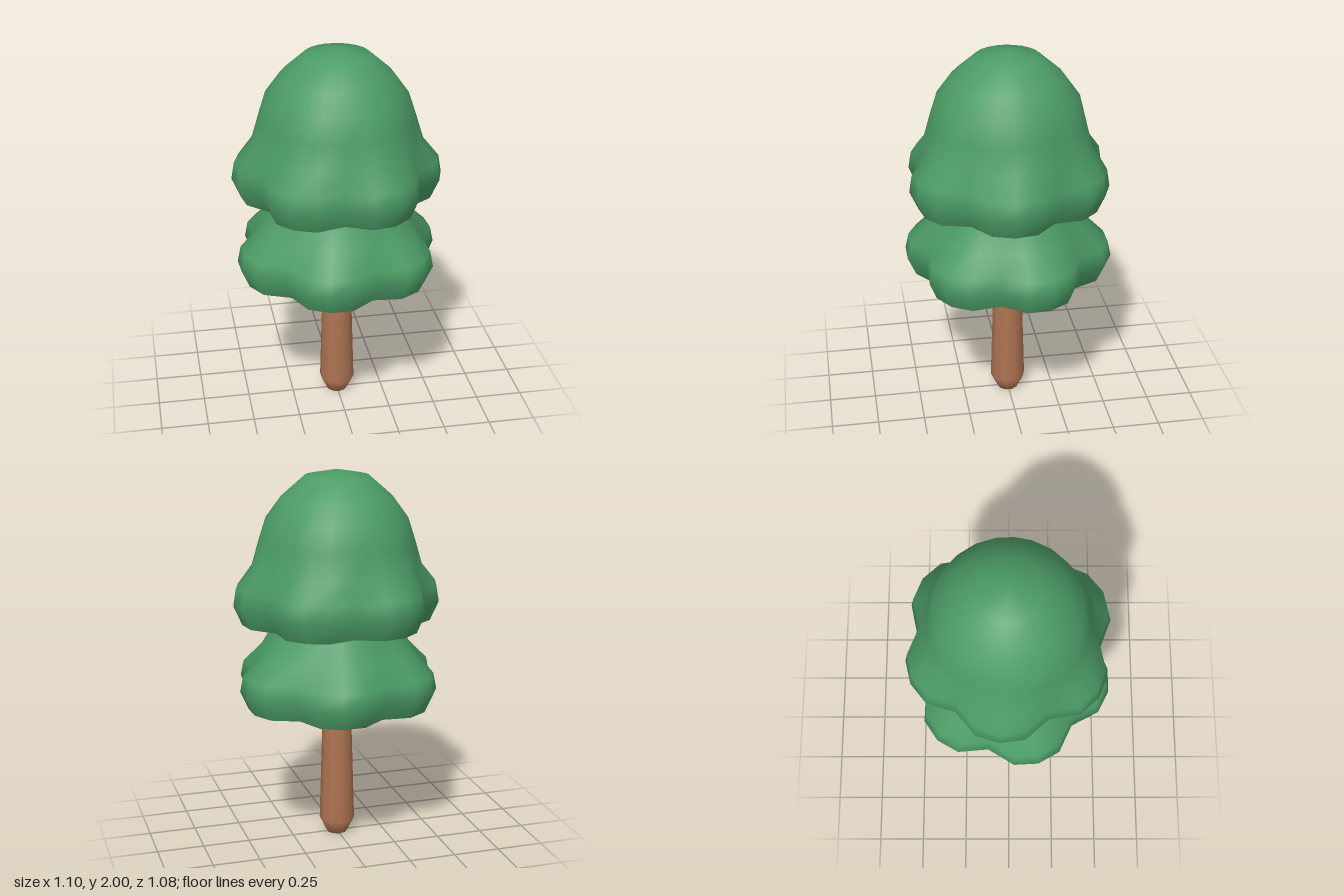
import * as THREE from 'three';

const leafGreen = new THREE.MeshStandardMaterial({ color: 0x4b9b65 });
const barkBrown = new THREE.MeshStandardMaterial({ color: 0xb07553 });

// Four points per lobe: crown, shoulder, notch, shoulder
const OFFSETS = [0, 13.5, 30, 46.5];
const NOTCH = [0, 0.17, 1, 0.17];
const LOBES = 6;
const SIDES = LOBES * 4;

// Loft of scalloped rings; each ring is [y, lobe radius, notch radius]
function scallopedLoft(rings, turn) {
  const positions = [];
  const index = [];
  for (const [y, lobe, notch] of rings) {
    for (let i = 0; i < SIDES; i++) {
      const k = i % 4;
      const a = THREE.MathUtils.degToRad(turn + Math.floor(i / 4) * 60 + OFFSETS[k]);
      const r = THREE.MathUtils.lerp(lobe, notch, NOTCH[k]);
      positions.push(r * Math.cos(a), y, r * Math.sin(a));
    }
  }
  for (let j = 0; j < rings.length - 1; j++) {
    for (let i = 0; i < SIDES; i++) {
      const n = (i + 1) % SIDES;
      const a = j * SIDES + i, b = j * SIDES + n;
      const c = a + SIDES, d = b + SIDES;
      // Skip the empty triangle where a ring shrinks to a point
      if (rings[j][1] > 0) index.push(a, c, b);
      if (rings[j + 1][1] > 0) index.push(b, c, d);
    }
  }
  const geometry = new THREE.BufferGeometry();
  geometry.setAttribute('position', new THREE.Float32BufferAttribute(positions, 3));
  geometry.setIndex(index);
  geometry.computeVertexNormals();
  // Share one normal over the points that meet at the tip
  const normal = geometry.attributes.normal;
  rings.forEach(([, r], j) => {
    if (r > 0) return;
    const up = j === 0 ? -1 : 1;
    for (let i = 0; i < SIDES; i++) normal.setXYZ(j * SIDES + i, 0, up, 0);
  });
  return geometry;
}

// One foliage tier: smooth lobed skin plus a separate creased underside
function foliageTier(name, skin, floor, turn) {
  const tier = new THREE.Group();
  tier.name = name;
  const outer = new THREE.Mesh(scallopedLoft(skin, turn), leafGreen);
  outer.name = name + 'Skin';
  const under = new THREE.Mesh(
    scallopedLoft([[floor, 0, 0], [floor, 0.27, 0.26], skin[0]], turn), leafGreen);
  under.name = name + 'Underside';
  tier.add(outer, under);
  return tier;
}

export function createModel() {
  const tree = new THREE.Group();
  tree.name = 'tree';

  // Trunk with a tucked-in foot
  const profile = [[0, 0], [0.056, 0], [0.095, 0.08], [0.076, 0.72], [0.074, 0.8]];
  const trunk = new THREE.Mesh(
    new THREE.LatheGeometry(profile.map(([r, y]) => new THREE.Vector2(r, y)), 10), barkBrown);
  trunk.name = 'trunk';
  tree.add(trunk);

  // Lower tier, its top hidden inside the upper one
  tree.add(foliageTier('lowerFoliage', [
    [0.762, 0.51, 0.42], [0.86, 0.553, 0.465], [0.945, 0.535, 0.45],
    [1.05, 0.42, 0.395], [1.17, 0.345, 0.335], [1.3, 0.28, 0.28], [1.35, 0, 0],
  ], 0.725, 43.5));

  // Upper domed tier, turned so its lobes sit between those below
  tree.add(foliageTier('upperFoliage', [
    [1.202, 0.505, 0.42], [1.305, 0.55, 0.47], [1.395, 0.535, 0.455],
    [1.5, 0.45, 0.425], [1.63, 0.41, 0.4], [1.75, 0.37, 0.37],
    [1.86, 0.29, 0.29], [1.967, 0.168, 0.168], [2.0, 0, 0],
  ], 1.165, 4.5));

  return tree;
}
